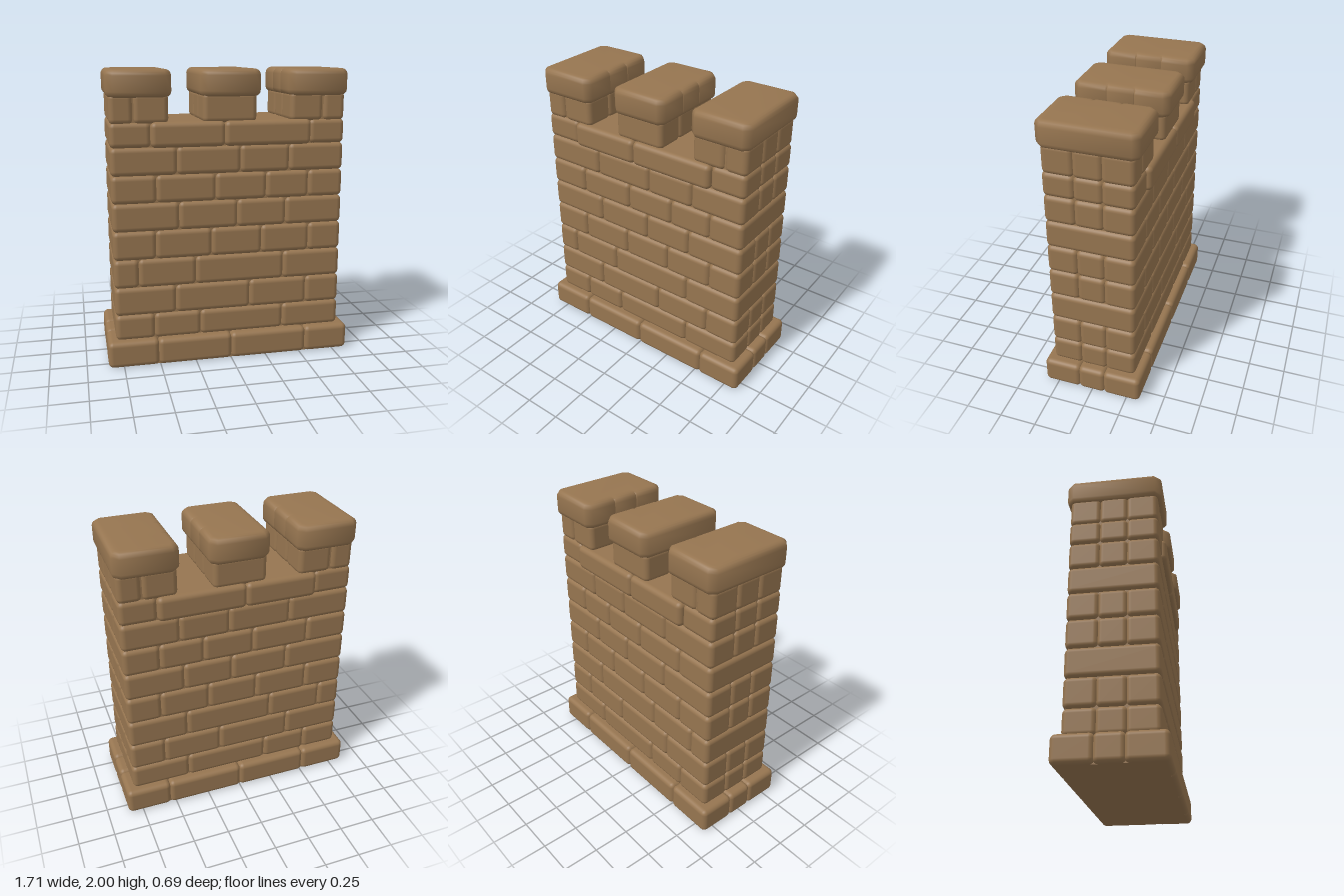
import * as THREE from 'three';
import { RoundedBoxGeometry } from 'three/addons/geometries/RoundedBoxGeometry.js';
import { toCreasedNormals } from 'three/addons/utils/BufferGeometryUtils.js';

const stone = new THREE.MeshStandardMaterial({ color: 0x967550 });
stone.name = 'sandstone';

const OVERLAP = 0.006; // neighbouring stones press together, leaving shallow joints

function add(parent, name, geometry, x = 0, y = 0, z = 0) {
  const mesh = new THREE.Mesh(geometry, stone);
  mesh.name = name;
  mesh.position.set(x, y, z);
  parent.add(mesh);
}

// rounded stone between two corners
function addStone(parent, name, x0, x1, y0, y1, z0, z1, radius = 0.035) {
  const geometry = new RoundedBoxGeometry(x1 - x0, y1 - y0, z1 - z0, 3, radius);
  add(parent, name, geometry, (x0 + x1) / 2, (y0 + y1) / 2, (z0 + z1) / 2);
}

// plain filling behind the joints
function addCore(parent, name, x0, x1, y0, y1, halfDepth) {
  add(parent, name, new THREE.BoxGeometry(x1 - x0, y1 - y0, halfDepth * 2), (x0 + x1) / 2, (y0 + y1) / 2);
}

// stones whose ends show two joints across the depth
function addSplitStone(parent, name, x0, x1, y0, y1, depth) {
  const cuts = [-depth, -0.09, 0.09, depth];
  for (let i = 0; i < 3; i++) {
    const a = cuts[i] - (i > 0 ? OVERLAP : 0);
    const b = cuts[i + 1] + (i < 2 ? OVERLAP : 0);
    addStone(parent, name, x0, x1, y0, y1, a, b);
  }
}

// one course of stones, divided at the given x positions
function addCourse(parent, name, y0, y1, halfWidth, depth, joints, splitEnds, innerDepth = depth) {
  const group = new THREE.Group();
  group.name = name;
  const xs = [-halfWidth, ...joints, halfWidth];
  for (let i = 0; i < xs.length - 1; i++) {
    const isFirst = i === 0;
    const isLast = i === xs.length - 2;
    const x0 = xs[i] - (isFirst ? 0 : OVERLAP / 2);
    const x1 = xs[i + 1] + (isLast ? 0 : OVERLAP / 2);
    if ((isFirst || isLast) && splitEnds) addSplitStone(group, 'endStone', x0, x1, y0, y1, depth);
    else addStone(group, 'wallStone', x0, x1, y0, y1, -(isFirst || isLast ? depth : innerDepth), isFirst || isLast ? depth : innerDepth);
  }
  parent.add(group);
}

// bevelled coping slab with two small chips in one long side
function capGeometry(width, depth, height, side) {
  const r = 0.04;
  const w = width / 2 - r, d = depth / 2 - r, n = 0.022;
  const points = [[-w + 0.02, -d], [w - 0.02, -d], [w, -d + 0.02]];
  for (const z of [-0.09, 0.09]) points.push([w, z - 0.022], [w - n, z], [w, z + 0.022]);
  points.push([w, d - 0.02], [w - 0.02, d], [-w + 0.02, d], [-w, d - 0.02], [-w, -d + 0.02]);
  const shape = new THREE.Shape(points.map(([x, z]) => new THREE.Vector2(x * side, z)));
  const geometry = new THREE.ExtrudeGeometry(shape, {
    depth: height - 2 * r, bevelEnabled: true, bevelSize: r, bevelThickness: r, bevelSegments: 4,
  });
  geometry.translate(0, 0, r).rotateX(-Math.PI / 2);
  return toCreasedNormals(geometry, 0.9);
}

export function createModel() {
  const wall = new THREE.Group();
  wall.name = 'castleWall';

  // footing
  addCore(wall, 'footingCore', -0.82, 0.82, 0.001, 0.165, 0.315);
  addCourse(wall, 'footing', 0, 0.185, 0.855, 0.345, [-0.51, 0, 0.54], true);

  // wall courses: bottom, top, joints, whether the end stones are divided
  addCore(wall, 'wallCore', -0.775, 0.775, 0.15, 1.645, 0.273);
  const courses = [
    [0.18, 0.355, [-0.53, -0.21, 0.38], true],
    [0.355, 0.55, [-0.38, 0.14, 0.55], true],
    [0.55, 0.745, [-0.63, -0.24, 0.38], false],
    [0.745, 0.94, [-0.51, -0.13, 0.22, 0.56], true],
    [0.94, 1.13, [-0.35, 0.05, 0.39], true],
    [1.13, 1.315, [-0.5, -0.1, 0.25, 0.55], false],
    [1.315, 1.5, [-0.36, 0.07, 0.41], true],
  ];
  for (const [y0, y1, joints, split] of courses) {
    addCourse(wall, 'wallCourse', y0 - OVERLAP / 2, y1 + OVERLAP / 2, 0.797, 0.295, joints, split);
  }
  // top course with projecting sill stones
  addCourse(wall, 'sillCourse', 1.497, 1.665, 0.797, 0.295, [-0.53, -0.04, 0.55], true, 0.32);

  // merlons: stone edges, cap extent, chipped side
  const merlons = [
    [[-0.795, -0.64, -0.41], -0.81, -0.39, 1],
    [[-0.185, 0.18], -0.2, 0.205, 1],
    [[0.41, 0.64, 0.795], 0.395, 0.81, -1],
  ];
  for (const [xs, cap0, cap1, side] of merlons) {
    const merlon = new THREE.Group();
    merlon.name = 'merlon';
    addCore(merlon, 'merlonCore', xs[0] + 0.018, xs[xs.length - 1] - 0.018, 1.6, 1.87, 0.275);
    for (let i = 0; i < xs.length - 1; i++) {
      addSplitStone(merlon, 'merlonStone', xs[i], xs[i + 1], 1.65, 1.85, 0.293);
    }
    add(merlon, 'merlonCap', capGeometry(cap1 - cap0, 0.64, 0.18, side), (cap0 + cap1) / 2, 1.82, 0);
    wall.add(merlon);
  }
  return wall;
}
